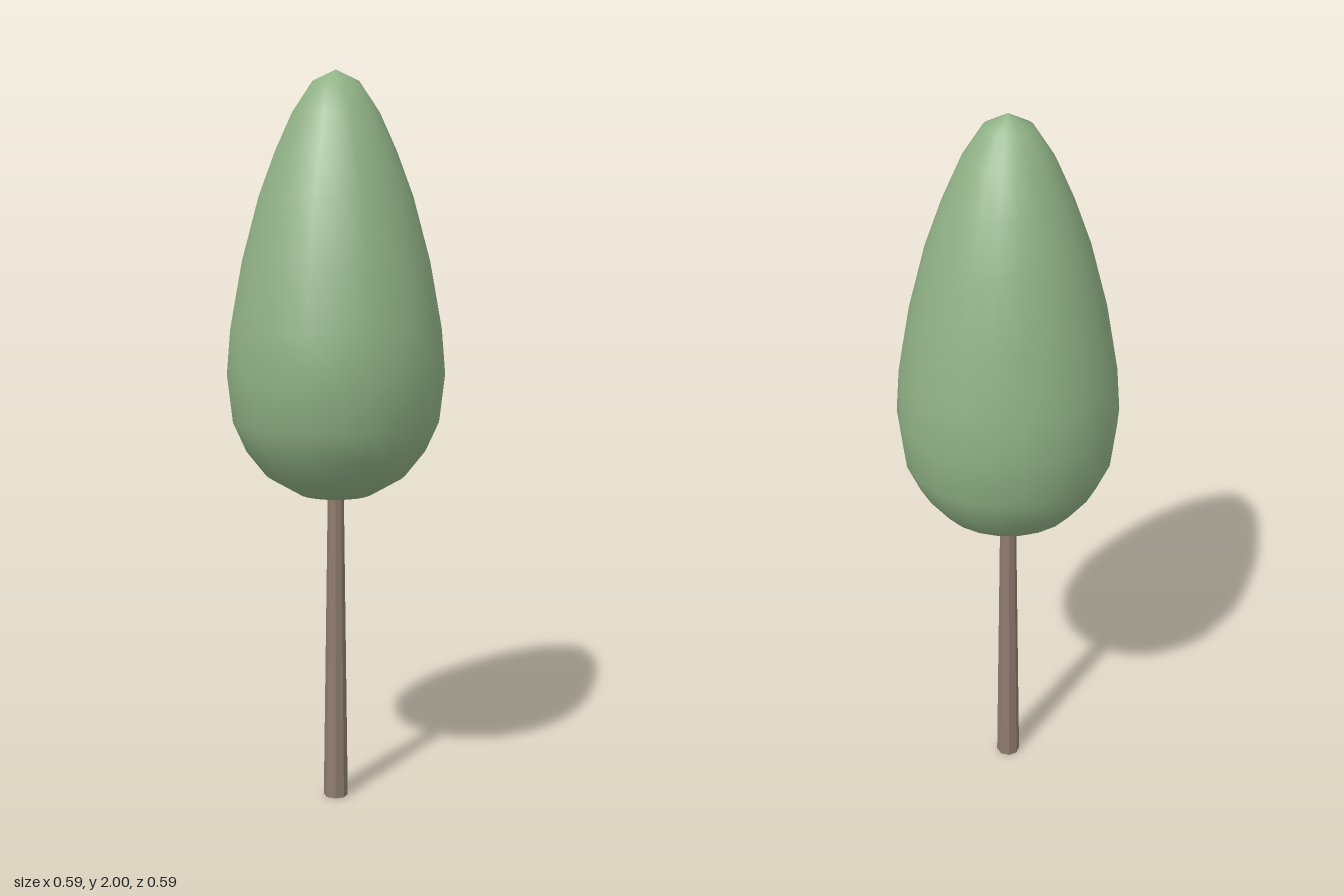
import * as THREE from 'three';

export function createModel() {
  const tree = new THREE.Group();
  tree.name = 'tree';

  // Slim tapering trunk, its top hidden inside the crown
  const trunk = new THREE.Mesh(
    new THREE.CylinderGeometry(0.021, 0.034, 0.95, 8),
    new THREE.MeshStandardMaterial({ color: 0x8f7b6e, flatShading: true })
  );
  trunk.name = 'trunk';
  trunk.position.y = 0.475;
  tree.add(trunk);

  // Smooth egg-shaped crown, widest low down: [radius, height] from base to tip
  const profile = [
    [0, 0.85], [0.1, 0.868], [0.19, 0.92], [0.245, 0.99], [0.281, 1.07],
    [0.296, 1.2], [0.286, 1.32], [0.253, 1.5], [0.207, 1.67], [0.162, 1.79],
    [0.116, 1.89], [0.062, 1.97], [0, 2],
  ].map(([r, y]) => new THREE.Vector2(r, y));
  const crown = new THREE.Mesh(
    new THREE.LatheGeometry(profile, 22),
    new THREE.MeshStandardMaterial({ color: 0x8fb085 })
  );
  crown.name = 'crown';
  tree.add(crown);

  return tree;
}
